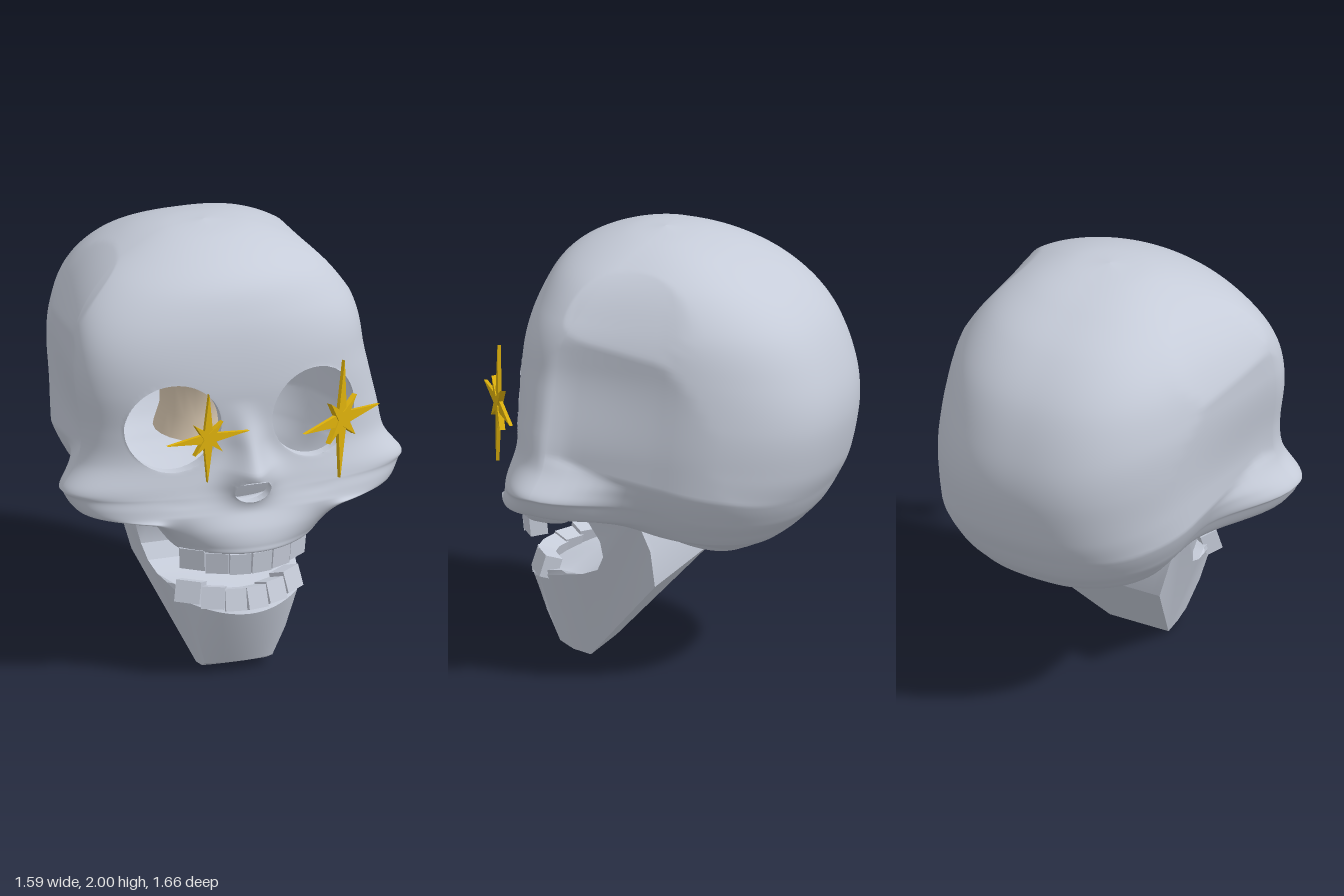
import * as THREE from 'three';
import { toCreasedNormals } from 'three/addons/utils/BufferGeometryUtils.js';

const { lerp, smoothstep } = THREE.MathUtils;

function makeMaterial(name, color) {
  const m = new THREE.MeshStandardMaterial({ color, side: THREE.DoubleSide });
  m.name = name;
  return m;
}

function addMesh(parent, name, geometry, material) {
  const mesh = new THREE.Mesh(geometry, material);
  mesh.name = name;
  parent.add(mesh);
  return mesh;
}

// Skull profiles, crown to base: front [y, z], side [x, y, z], back [y, z]
const ROWS = [
  [2.0, 0.04, 0, 2.0, 0.04, 2.0, 0.04],
  [1.978, 0.22, 0.2, 1.978, 0.05, 1.975, -0.14],
  [1.92, 0.39, 0.37, 1.92, 0.1, 1.92, -0.32],
  [1.84, 0.5, 0.51, 1.84, 0.16, 1.81, -0.53],
  [1.72, 0.565, 0.61, 1.73, 0.22, 1.64, -0.7],
  [1.58, 0.6, 0.66, 1.6, 0.28, 1.42, -0.8],
  [1.4, 0.615, 0.68, 1.4, 0.31, 1.22, -0.83],
  [1.22, 0.605, 0.69, 1.2, 0.32, 1.0, -0.79],
  [1.08, 0.6, 0.715, 1.04, 0.33, 0.87, -0.73],
  [0.96, 0.62, 0.79, 0.935, 0.36, 0.8, -0.69],
  [0.9, 0.635, 0.78, 0.905, 0.36, 0.76, -0.66],
  [0.83, 0.66, 0.73, 0.83, 0.38, 0.72, -0.62],
  [0.75, 0.7, 0.66, 0.81, 0.37, 0.69, -0.59],
  [0.68, 0.71, 0.58, 0.8, 0.35, 0.66, -0.55],
  [0.645, 0.69, 0.52, 0.795, 0.33, 0.64, -0.52],
  [0.66, 0.52, 0.46, 0.79, 0.28, 0.61, -0.46],
  [0.78, 0.38, 0.36, 0.76, 0.1, 0.585, -0.41],
  [0.64, 0.1, 0.25, 0.63, -0.1, 0.565, -0.35],
  [0.565, -0.25, 0, 0.565, -0.25, 0.565, -0.25],
];

// Openings in the face: centre x, centre y, radius x, radius y
const HOLES = [
  [-0.34, 1.24, 0.215, 0.21],
  [0.32, 1.24, 0.205, 0.21],
  [0, 0.935, 0.085, 0.06],
];

// Half width of the braincase along one tilted row; it closes at the back profile
function braincaseWidth(S, B, z) {
  const zc = -0.2;
  const y = lerp(S.y, B.y, (S.z - zc) / Math.max(S.z - B.z, 0.01));
  const ball = 0.67 * Math.sqrt(Math.max(1 - ((y - 1.27) / 0.77) ** 2, 0));
  const wide = Math.min(0.62, ball);
  if (z >= zc) return wide + 0.08 * (z - zc);
  const t = Math.min((z - zc) / Math.min(B.z - zc, -0.04), 1);
  return wide * Math.pow(1 - t * t, 1 / 2.5);
}

function skullPoint(F, S, B, angle) {
  const s = Math.sin(angle), c = Math.cos(angle), front = c >= 0;
  const n = front ? lerp(2, 2.35, 1 - smoothstep(S.y, 1.5, 1.9)) : 2.6;
  const r = 1 / Math.pow(Math.abs(s) ** n + Math.abs(c) ** n, 1 / n);
  const end = front ? F : B, k = Math.abs(c) * r;
  let x = Math.max(S.x, 0) * Math.abs(s) * r;
  let z = lerp(S.z, end.z, k);
  // the upper jaw drops below the cheeks only near the middle
  const jawDrop = front ? 1 - smoothstep(F.y, 0.83, 0.95) : 0;
  const y = lerp(S.y, end.y, lerp(k, 1 - smoothstep(x, 0.29, 0.45), jawDrop));
  z -= 8 * jawDrop * Math.max(S.y - y, 0) * x * x;
  // flattened temple, fading out slowly behind the cheekbone
  const limit = braincaseWidth(S, B, z);
  const fadeEnd = lerp(-0.1, 0.24, smoothstep(y, 0.95, 1.1));
  if (x > limit) x -= (x - limit) * (1 - smoothstep(z, fadeEnd, 0.36));
  x *= Math.sign(s);
  // nose ridge
  if (front && y < 1.35) {
    const h = y > 1.03 ? 0.135 * ((1.35 - y) / 0.32) ** 1.5
      : 0.135 * smoothstep(y, 0.82, 1.03);
    const wide = lerp(0.11, 0.065, smoothstep(y, 0.95, 1.15));
    z += h * Math.exp(-((x / wide) ** 2));
  }
  // slight lean of the dome
  const lean = 0.05 * smoothstep(y, 1.1, 1.5) * (1 - 0.6 * smoothstep(y, 1.7, 2));
  return [x - lean * lerp(0.4, 1, smoothstep(z, -0.4, 0.2)), y, z];
}

// Skull surface with cut openings, and a short inner wall around each opening
function buildSkull(parent, material) {
  const curve = (f) => new THREE.CatmullRomCurve3(
    ROWS.map((r) => new THREE.Vector3(...f(r))), false, 'catmullrom', 0.5);
  const front = curve((r) => [0, r[0], r[1]]);
  const side = curve((r) => [r[2], r[3], r[4]]);
  const back = curve((r) => [0, r[5], r[6]]);
  const rows = 180, frontCols = 144, backCols = 64, cols = frontCols + backCols;
  const pos = [], hole = [], index = [];
  for (let i = 0; i <= rows; i++) {
    const F = front.getPoint(i / rows), S = side.getPoint(i / rows), B = back.getPoint(i / rows);
    for (let j = 0; j < cols; j++) {
      const a = j < frontCols ? -Math.PI / 2 + (Math.PI * j) / frontCols
        : Math.PI / 2 + (Math.PI * (j - frontCols)) / backCols;
      const p = skullPoint(F, S, B, a);
      let inside = -1;
      HOLES.forEach(([cx, cy, rx, ry], h) => {
        const d = Math.hypot((p[0] - cx) / rx, (p[1] - cy) / ry);
        if (d < 1 && p[2] > 0.4) {
          inside = h;
          const q = 1 / Math.max(d, 1e-4);
          p[0] = cx + (p[0] - cx) * q;
          p[1] = cy + (p[1] - cy) * q;
        }
      });
      pos.push(...p);
      hole.push(inside);
    }
  }
  const rims = HOLES.map(() => new Set());
  const tri = (...t) => {
    if (t.every((v) => hole[v] >= 0)) return;
    t.forEach((v) => hole[v] >= 0 && rims[hole[v]].add(v));
    index.push(...t);
  };
  for (let i = 0; i < rows; i++) for (let j = 0; j < cols; j++) {
    const k = (j + 1) % cols;
    const a = i * cols + j, b = a + cols, c = (i + 1) * cols + k, d = i * cols + k;
    tri(a, b, c);
    tri(a, c, d);
  }
  const surface = (positions, indices) => {
    const g = new THREE.BufferGeometry();
    g.setAttribute('position', new THREE.Float32BufferAttribute(positions, 3));
    g.setIndex(indices);
    g.computeVertexNormals();
    return g;
  };
  addMesh(parent, 'skull', surface(pos, index), material);

  rims.forEach((set, h) => {
    const [cx, cy] = HOLES[h];
    const ring = [...set].map((v) => pos.slice(v * 3, v * 3 + 3))
      .sort((p, q) => Math.atan2(p[1] - cy, p[0] - cx) - Math.atan2(q[1] - cy, q[0] - cx));
    const wall = [], faces = [], n = ring.length;
    ring.forEach(([x, y, z], i) => {
      wall.push(x, y, z, x, y, z - 0.05);
      const a = i * 2, b = ((i + 1) % n) * 2;
      faces.push(a, b, a + 1, b, b + 1, a + 1);
    });
    addMesh(parent, h < 2 ? 'eyeSocketRim' : 'nasalRim', surface(wall, faces), material);
  });
}

// Lower jaw: side profile [z, y] extruded across, then tapered to the chin
function jawGeometry() {
  const profile = [[0.33, 0], [0.42, 0.015], [0.5, 0.05], [0.58, 0.19], [0.64, 0.33], [0.62, 0.36],
    [0.5, 0.39], [0.4, 0.415], [0.3, 0.435], [0.22, 0.47], [0.185, 0.54], [0.19, 0.62], [0.24, 0.72],
    [0.27, 0.79], [0.2, 0.79], [0, 0.77], [-0.05, 0.6], [-0.05, 0.42]];
  const shape = new THREE.Shape(profile.map(([z, y]) => new THREE.Vector2(z, y)));
  const g = new THREE.ExtrudeGeometry(shape, { depth: 2, steps: 16, bevelEnabled: false });
  g.translate(0, 0, -1).rotateY(-Math.PI / 2);
  const p = g.attributes.position;
  for (let i = 0; i < p.count; i++) {
    const y = p.getY(i), z = p.getZ(i);
    const half = y < 0.42 ? lerp(0.155, 0.325, y / 0.42) : lerp(0.325, 0.43, (y - 0.42) / 0.36);
    const x = p.getX(i) * half * (1 - 0.12 * smoothstep(z, 0.2, 0.62));
    const front = smoothstep(z, 0.35, 0.6);
    p.setXYZ(i, x, y + 0.7 * x * x * front * smoothstep(y, 0.15, 0.33), z - 1.6 * x * x * front);
  }
  return toCreasedNormals(g, 0.5);
}

// A curved row of square teeth
function buildTeeth(parent, name, y, z, tilt, rise, material) {
  const row = new THREE.Group();
  row.name = name;
  for (let i = 0; i < 6; i++) {
    const x = (i - 2.5) * 0.09, yaw = Math.atan(3.4 * x);
    const tooth = addMesh(row, 'tooth', new THREE.BoxGeometry(0.094 / Math.cos(yaw), 0.1, 0.08), material);
    tooth.position.set(x - 0.015, y + rise * x * x, z - 1.7 * x * x);
    tooth.rotation.set(tilt, yaw, 0, 'YXZ');
  }
  parent.add(row);
}

// A four-pointed blade star, centred on its own thickness
function starGeometry(radius, waist, depth) {
  const pts = [];
  for (let i = 0; i < 8; i++) {
    const a = (i * Math.PI) / 4, r = i % 2 ? waist : radius;
    pts.push(new THREE.Vector2(Math.cos(a) * r, Math.sin(a) * r));
  }
  return new THREE.ExtrudeGeometry(new THREE.Shape(pts), { depth, bevelEnabled: false })
    .translate(0, 0, -depth / 2);
}

export function createModel() {
  const model = new THREE.Group();
  model.name = 'skullWithStarEyes';
  const bone = makeMaterial('bone grey', 0xc6ccd9);
  const gold = makeMaterial('gold', 0xdcb00c);
  const beige = makeMaterial('inner beige', 0xdccbb4);

  buildSkull(model, bone);
  addMesh(model, 'lowerJaw', jawGeometry(), bone);
  buildTeeth(model, 'upperTeeth', 0.6, 0.66, 0.1, 0.3, bone);
  buildTeeth(model, 'lowerTeeth', 0.39, 0.6, -0.3, 0.6, bone);

  // flared core inside the head
  const core = [[0.23, 1.0], [0.2, 1.1], [0.2, 1.25], [0.28, 1.42], [0.34, 1.52]]
    .map(([r, y]) => new THREE.Vector2(r, y));
  addMesh(model, 'innerCore', new THREE.LatheGeometry(core, 24), beige);

  // star eyes: centre, radius, yaw, roll
  [['rightStarEye', [-0.225, 1.23, 0.71], 0.21, 0.2, -0.02],
    ['leftStarEye', [0.417, 1.222, 0.665], 0.277, 0.6, -0.06]].forEach(([name, at, R, yaw, roll]) => {
    const star = new THREE.Group();
    star.name = name;
    addMesh(star, 'longPoints', starGeometry(R, R * 0.15, 0.016), gold);
    addMesh(star, 'shortPoints', starGeometry(R * 0.48, R * 0.12, 0.026), gold).rotation.z = Math.PI / 4;
    star.position.set(...at);
    star.rotation.set(0, yaw, roll, 'YXZ');
    model.add(star);
  });
  return model;
}
